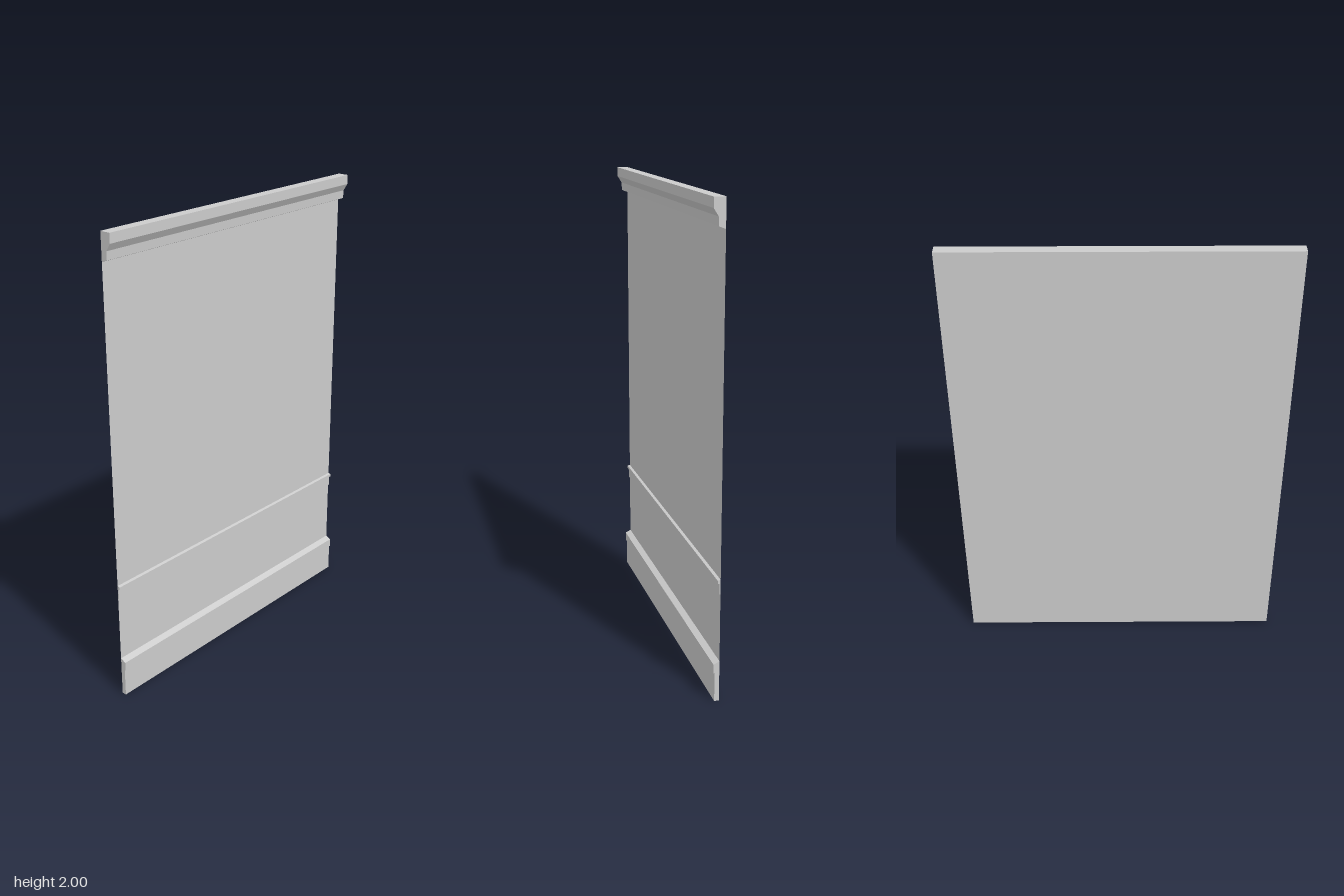
import * as THREE from 'three';

const WIDTH = 1.425;
const BACK = -0.023;

export function createModel() {
  const group = new THREE.Group();
  const material = new THREE.MeshStandardMaterial({ color: 0xcccccc, flatShading: true, side: THREE.DoubleSide });

  // thin wall sheet that carries the mouldings
  const wall = new THREE.Mesh(new THREE.PlaneGeometry(WIDTH, 2), material);
  wall.name = 'wallPanel';
  wall.position.set(0, 1, BACK);
  group.add(wall);

  // a moulding: (z, y) profile swept across the wall's width
  const addMoulding = (name, profile) => {
    const shape = new THREE.Shape(profile.map(([z, y]) => new THREE.Vector2(z, y)));
    const geometry = new THREE.ExtrudeGeometry(shape, { depth: WIDTH, bevelEnabled: false });
    geometry.translate(0, 0, -WIDTH / 2).rotateY(-Math.PI / 2);
    const mesh = new THREE.Mesh(geometry, material);
    mesh.name = name;
    group.add(mesh);
  };

  addMoulding('crownMoulding', [
    [BACK, 1.885], [0.003, 1.895], [0.005, 1.93], [0.024, 1.96], [0.024, 2], [BACK, 2],
  ]);
  addMoulding('chairRail', [
    [BACK, 0.465], [-0.018, 0.465], [-0.018, 0.51], [-0.011, 0.513], [-0.011, 0.525], [BACK, 0.528],
  ]);
  addMoulding('baseboard', [
    [BACK, 0], [-0.003, 0], [-0.003, 0.125], [0.002, 0.125], [0.002, 0.163], [BACK, 0.175],
  ]);
  return group;
}
